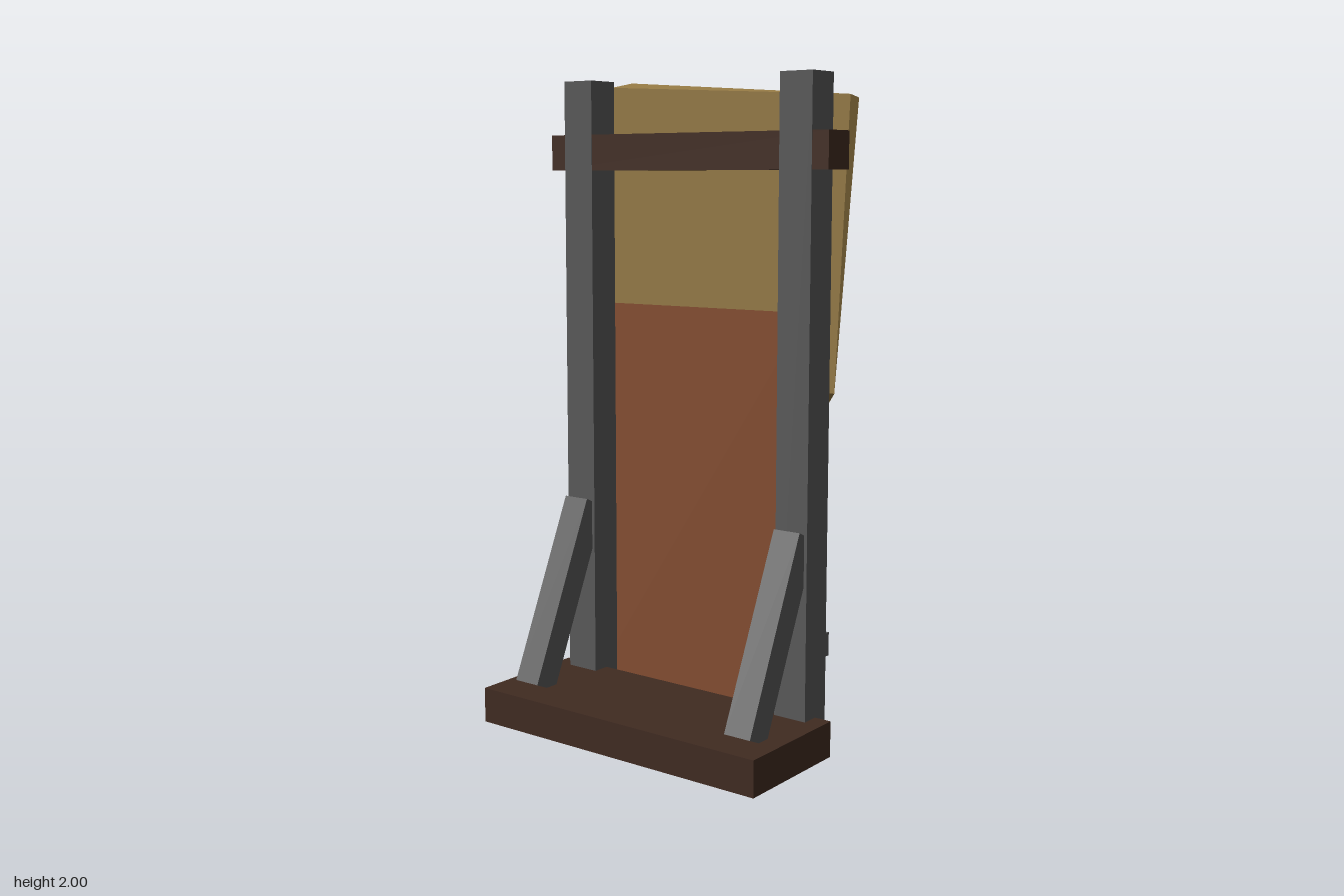
import * as THREE from 'three';

const mat = (color) => new THREE.MeshStandardMaterial({ color, flatShading: true, roughness: 0.9 });

export function createModel() {
  const model = new THREE.Group();
  const darkWood = mat(0x402b21);
  const metal = mat(0x585858);
  const rust = mat(0x834d31);
  const ochre = mat(0x937843);

  const add = (name, geometry, material, x = 0, y = 0, z = 0) => {
    const mesh = new THREE.Mesh(geometry, material);
    mesh.name = name;
    mesh.position.set(x, y, z);
    model.add(mesh);
    return mesh;
  };
  const box = (name, material, w, h, d, x, y, z) =>
    add(name, new THREE.BoxGeometry(w, h, d), material, x, y, z);

  // Rough, uneven sheet: a box whose eight corners are moved.
  // Corner keys: o/i = outer/inner (x), t/b = top/bottom (y), l/r = +z/-z edge.
  const sheet = (name, material, corners) => {
    const geometry = new THREE.BoxGeometry(1, 1, 1);
    const p = geometry.attributes.position;
    for (let i = 0; i < p.count; i++) {
      const key = (p.getX(i) > 0 ? 'o' : 'i') + (p.getY(i) > 0 ? 't' : 'b') + (p.getZ(i) > 0 ? 'l' : 'r');
      p.setXYZ(i, ...corners[key]);
    }
    geometry.computeVertexNormals();
    return add(name, geometry, material);
  };

  // Frame
  box('base', darkWood, 0.4, 0.11, 1.03, -0.12, 0.055, 0);
  box('crossbar', darkWood, 0.108, 0.11, 1.03, 0.08, 1.78, 0);
  for (const [side, s] of [['front', 1], ['back', -1]]) {
    box(side + 'Post', metal, 0.11, 2, 0.11, 0.08, 1, s * 0.405);
    const brace = box(side + 'Brace', metal, 0.09, 0.607, 0.09, -0.081, 0.389, s * 0.405);
    brace.rotation.z = -0.416;
  }

  // Overlapping scrap sheets
  sheet('lowerSheet', rust, {
    itl: [0.138, 1.31, 0.375], otl: [0.19, 1.29, 0.375],
    itr: [0.139, 1.305, -0.455], otr: [0.173, 1.293, -0.487],
    ibl: [0.149, 0.042, 0.425], obl: [0.172, 0.07, 0.436],
    ibr: [0.14, 0.055, -0.435], obr: [0.198, 0.057, -0.425],
  });
  sheet('upperSheet', ochre, {
    itl: [0.195, 1.94, 0.48], otl: [0.217, 1.93, 0.495],
    itr: [0.167, 1.985, -0.385], otr: [0.226, 2.0, -0.35],
    ibl: [0.195, 1.07, 0.44], obl: [0.244, 1.03, 0.39],
    ibr: [0.173, 1.1, -0.42], obr: [0.227, 1.08, -0.43],
  });
  sheet('patch', darkWood, {
    itl: [0.232, 1.317, 0.02], otl: [0.259, 1.307, 0.03],
    itr: [0.23, 1.24, -0.41], otr: [0.268, 1.235, -0.447],
    ibl: [0.2, 0.84, 0.08], obl: [0.22, 0.828, 0.09],
    ibr: [0.194, 0.765, -0.37], obr: [0.225, 0.762, -0.345],
  });

  // Square bolts
  for (const s of [1, -1]) {
    box('upperBolt', metal, 0.068, 0.074, 0.076, 0.283, 1.826, s * 0.312);
    box('lowerBolt', metal, 0.068, 0.074, 0.076, 0.26, 0.27, s * 0.334);
  }
  return model;
}
